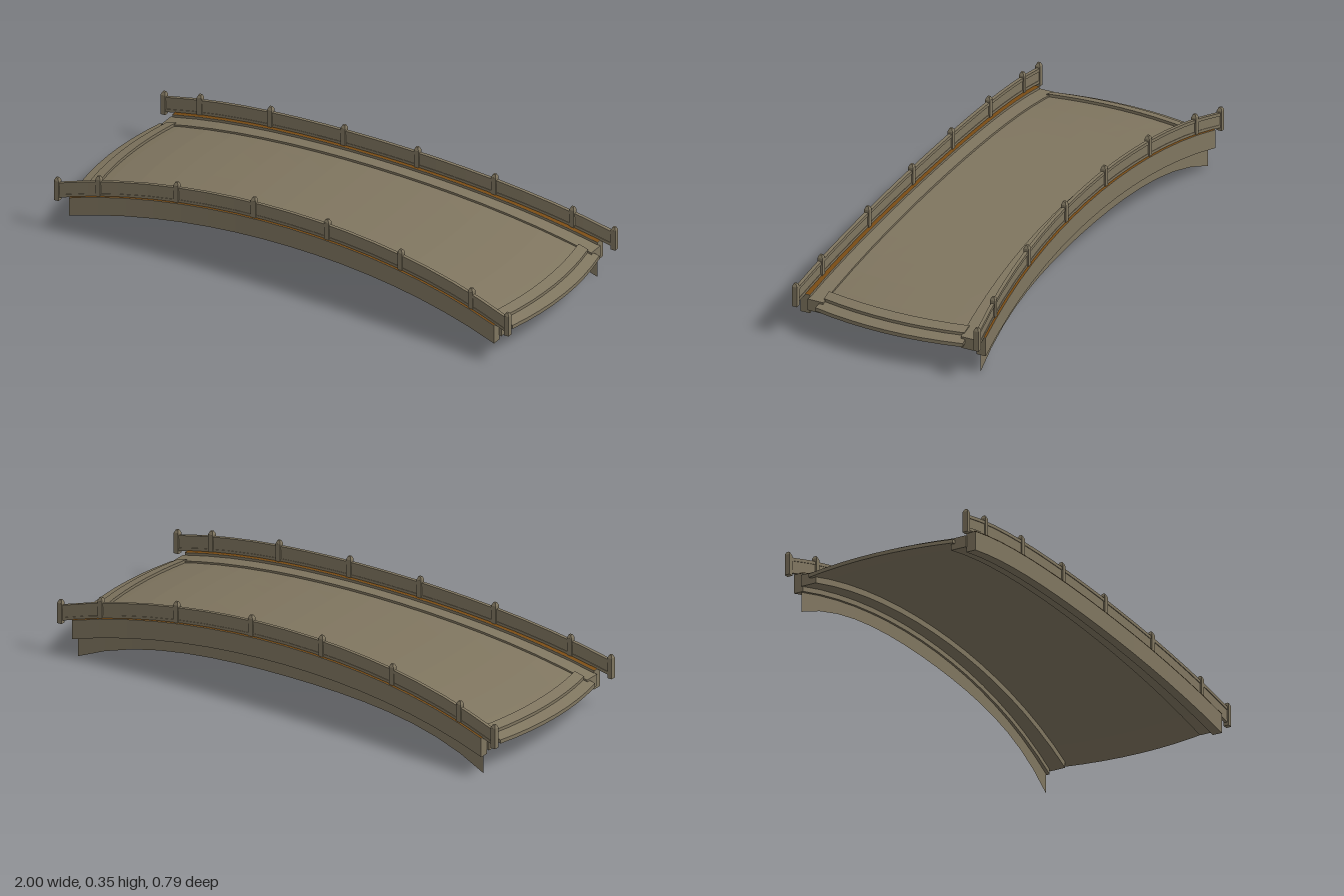
import * as THREE from 'three';

const stone = new THREE.MeshStandardMaterial({ color: 0x7f755f });
stone.name = 'weathered stone';
const brown = new THREE.MeshStandardMaterial({ color: 0x7a4c14, side: THREE.DoubleSide });
brown.name = 'brown ledge';
const sheet = new THREE.MeshStandardMaterial({ color: 0x7f755f, side: THREE.DoubleSide });
sheet.name = 'stone sheet';

// How far the arch falls, and how far the sides flare, at x
const drop = (x) => 0.115 * x * x + 0.022 * x ** 4;
const flare = (z, k) => (x) => z + k * x * x;
const railZ = flare(0.32, 0.064);
const outerZ = flare(0.335, 0.063);
const innerZ = flare(0.3, 0.058);

// Skin a row of closed rings (each upper edge out, lower edge back) with flat faces
function loft(rings) {
  const n = rings[0].length;
  let area = 0;
  rings[0].forEach((p, j) => {
    const q = rings[0][(j + 1) % n];
    area += p[1] * q[2] - q[1] * p[2];
  });
  if (area < 0) rings = rings.map((r) => [...r].reverse());
  const pos = [];
  const quad = (a, b, c, d) => pos.push(...a, ...b, ...c, ...a, ...c, ...d);
  for (let i = 0; i < rings.length - 1; i++) {
    for (let j = 0; j < n; j++) {
      const k = (j + 1) % n;
      quad(rings[i][j], rings[i][k], rings[i + 1][k], rings[i + 1][j]);
    }
  }
  const s = rings[0], e = rings[rings.length - 1];
  for (let j = 0; j < n / 2 - 1; j++) {
    quad(e[j], e[j + 1], e[n - 2 - j], e[n - 1 - j]);
    quad(s[n - 1 - j], s[n - 2 - j], s[j + 1], s[j]);
  }
  const g = new THREE.BufferGeometry();
  g.setAttribute('position', new THREE.Float32BufferAttribute(pos, 3));
  g.computeVertexNormals();
  return g;
}

// Arched bar on one side between two z curves and two heights
function arcBar(side, half, zA, zB, yLow, yHigh, steps = 16) {
  const rings = [];
  for (let i = 0; i <= steps; i++) {
    const x = half * (2 * i / steps - 1), d = drop(x);
    const a = side * zA(x), b = side * zB(x);
    rings.push([[x, yHigh - d, a], [x, yHigh - d, b], [x, yLow - d, b], [x, yLow - d, a]]);
  }
  return loft(rings);
}

// Slab across the bridge with bowed ends, from x0 to x1 on the centre line
function bowedSlab(x0, x1, halfWidth, yLow, yHigh, steps) {
  const rings = [];
  for (let i = 0; i <= steps; i++) {
    const x = x0 + (x1 - x0) * i / steps, d = drop(x * 0.96), w = halfWidth(x);
    const top = [], bottom = [];
    for (let j = 0; j <= 8; j++) {
      const z = w * (j / 4 - 1);
      const px = x * (1 - 0.035 * (z / 0.3) ** 2);
      top.push([px, yHigh - d, z]);
      bottom.unshift([px, yLow - d, z]);
    }
    rings.push([...top, ...bottom]);
  }
  return loft(rings);
}

// Open strip following x, between two edge functions
function strip(half, edgeA, edgeB, steps = 16) {
  const pos = [], index = [];
  for (let i = 0; i <= steps; i++) {
    const x = half * (2 * i / steps - 1);
    pos.push(...edgeA(x), ...edgeB(x));
    if (i < steps) index.push(2 * i, 2 * i + 1, 2 * i + 3, 2 * i, 2 * i + 3, 2 * i + 2);
  }
  const g = new THREE.BufferGeometry();
  g.setAttribute('position', new THREE.Float32BufferAttribute(pos, 3));
  g.setIndex(index);
  const flat = g.toNonIndexed();
  flat.computeVertexNormals();
  return flat;
}

export function createModel() {
  const model = new THREE.Group();
  model.name = 'archedBridge';
  const add = (name, geometry, material = stone) => {
    const mesh = new THREE.Mesh(geometry, material);
    mesh.name = name;
    model.add(mesh);
    return mesh;
  };

  // Deck and raised strips across its ends
  add('deck', bowedSlab(-1, 1, flare(0.265, 0.045), 0.238, 0.253, 16));
  for (const [a, b] of [[-0.955, -0.912], [0.912, 0.955]]) {
    add('endStrip', bowedSlab(a, b, () => 0.295, 0.245, 0.264, 1));
  }

  for (const s of [1, -1]) {
    const tag = s > 0 ? 'front' : 'back';
    // Kerb, side beam and the coloured ledge on its top
    add(tag + 'Kerb', arcBar(s, 0.94, flare(0.25, 0.045), flare(0.303, 0.058), 0.215, 0.262));
    add(tag + 'Beam', arcBar(s, 0.93, innerZ, outerZ, 0.195, 0.272));
    add(tag + 'Ledge', strip(0.93,
      (x) => [x, 0.2735 - drop(x), s * innerZ(x)],
      (x) => [x, 0.2735 - drop(x), s * outerZ(x)]), brown);

    // Parapet: thin panel between a lower and an upper rail
    const around = (t) => [(x) => railZ(x) - t, (x) => railZ(x) + t];
    add(tag + 'Panel', arcBar(s, 0.98, ...around(0.004), 0.28, 0.33));
    add(tag + 'LowerRail', arcBar(s, 0.98, ...around(0.006), 0.272, 0.284));
    add(tag + 'UpperRail', arcBar(s, 0.98, ...around(0.007), 0.322, 0.335));

    // Posts with pointed caps
    for (const m of [1, -1]) {
      for (const px of [0.16, 0.49, 0.815, 0.985]) {
        const x = px * m, end = px > 0.9;
        const top = 0.357 - drop(x), height = end ? 0.095 : 0.084, cap = 0.012;
        const post = new THREE.Group();
        post.name = tag + 'Post';
        const shaft = new THREE.Mesh(new THREE.BoxGeometry(0.02, height - cap, 0.021), stone);
        shaft.name = 'shaft';
        shaft.position.y = -cap - (height - cap) / 2;
        const point = new THREE.Mesh(
          new THREE.CylinderGeometry(0.007, 0.0145, cap, 4).rotateY(Math.PI / 4).toNonIndexed(), stone);
        point.geometry.computeVertexNormals();
        point.name = 'cap';
        point.position.y = -cap / 2;
        post.add(shaft, point);
        post.position.set(x, top, s * railZ(x));
        model.add(post);
      }
    }
  }

  // Deep skirt hanging beneath the back beam only
  const skirtZ = flare(0.308, 0.064);
  add('backSkirt', strip(0.922,
    (x) => [x, 0.2 - drop(x), -skirtZ(x)],
    (x) => [x, 0.135 - 0.06 * x * x - 0.115 * x ** 4, -skirtZ(x)]), sheet);

  return model;
}
